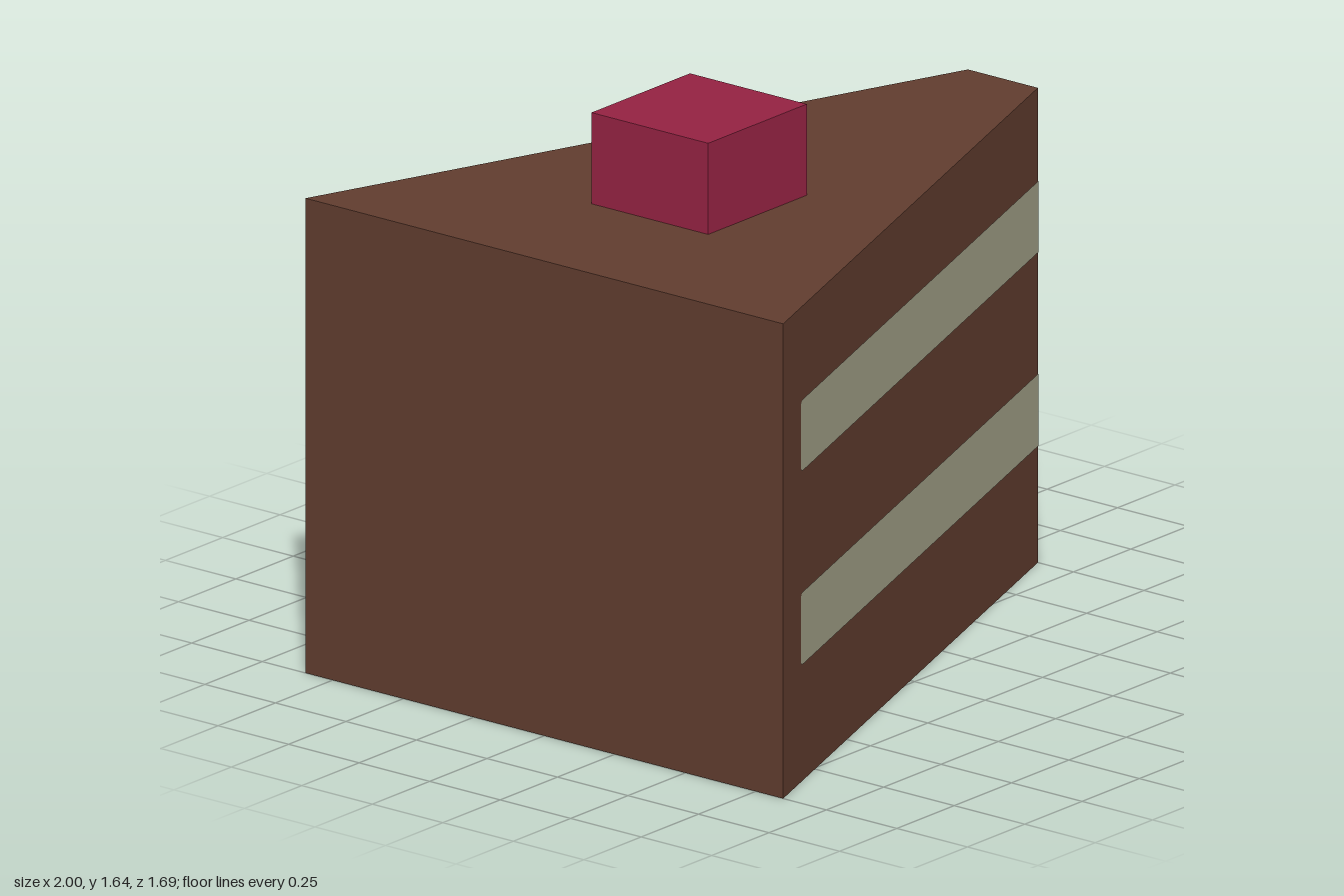
import * as THREE from 'three';

const H = 1.38, BACK = 0.847, TIP = 0.124; // cake height and half widths at each end

export function createModel() {
  const mat = (name, color) => {
    const m = new THREE.MeshStandardMaterial({ color });
    m.name = name;
    return m;
  };
  const sponge = mat('chocolate', 0x603c2e);
  const cream = mat('cream', 0xa19f87);
  const berry = mat('berry', 0x942242);

  const model = new THREE.Group();
  model.name = 'cakeSlice';
  const add = (parent, name, geometry, material) => {
    const mesh = new THREE.Mesh(geometry, material);
    mesh.name = name;
    parent.add(mesh);
    return mesh;
  };

  // Wedge with a blunt tip, drawn in plan and raised to full height
  const plan = new THREE.Shape([
    new THREE.Vector2(-1, -BACK), new THREE.Vector2(1, -TIP),
    new THREE.Vector2(1, TIP), new THREE.Vector2(-1, BACK),
  ]);
  const wedge = new THREE.ExtrudeGeometry(plan, { depth: H, bevelEnabled: false });
  wedge.rotateX(-Math.PI / 2);
  add(model, 'sponge', wedge, sponge);

  // Cream strip from a to b along a face; r0 and r1 round its two ends
  const strip = (a, b, y0, y1, r0, r1) => {
    const s = new THREE.Shape();
    s.moveTo(a + r0, y0);
    s.lineTo(b - r1, y0);
    if (r1) s.quadraticCurveTo(b, y0, b, y0 + r1);
    s.lineTo(b, y1 - r1);
    if (r1) s.quadraticCurveTo(b, y1, b - r1, y1);
    s.lineTo(a + r0, y1);
    if (r0) s.quadraticCurveTo(a, y1, a, y1 - r0);
    s.lineTo(a, y0 + r0);
    if (r0) s.quadraticCurveTo(a, y0, a + r0, y0);
    return new THREE.ShapeGeometry(s, 4);
  };

  // Each vertical face is a frame: x runs along it, z points out of it
  const len = Math.hypot(2, BACK - TIP);
  const angle = Math.atan2(BACK - TIP, 2);
  const inset = 0.067 * len, r = 0.016, lift = 0.002;
  const faces = [
    ['leftOfTip', -1, BACK, angle, inset, len, r, 0],
    ['rightOfTip', 1, -TIP, Math.PI - angle, 0, len - inset, 0, r],
    ['tip', 1, TIP, Math.PI / 2, 0, 2 * TIP, 0, 0],
  ];
  for (const [name, x, z, turn, a, b, r0, r1] of faces) {
    const face = new THREE.Group();
    face.name = name + 'Cream';
    face.position.set(x + Math.sin(turn) * lift, 0, z + Math.cos(turn) * lift);
    face.rotation.y = turn;
    add(face, 'lowerCream', strip(a, b, 0.34, 0.55, r0, r1), cream);
    add(face, 'upperCream', strip(a, b, 0.903, 1.11, r0, r1), cream);
    model.add(face);
  }

  // Square berry on top
  add(model, 'berryTopping', new THREE.BoxGeometry(0.43, 0.265, 0.414), berry)
    .position.set(-0.325, H + 0.1325, 0);

  return model;
}
